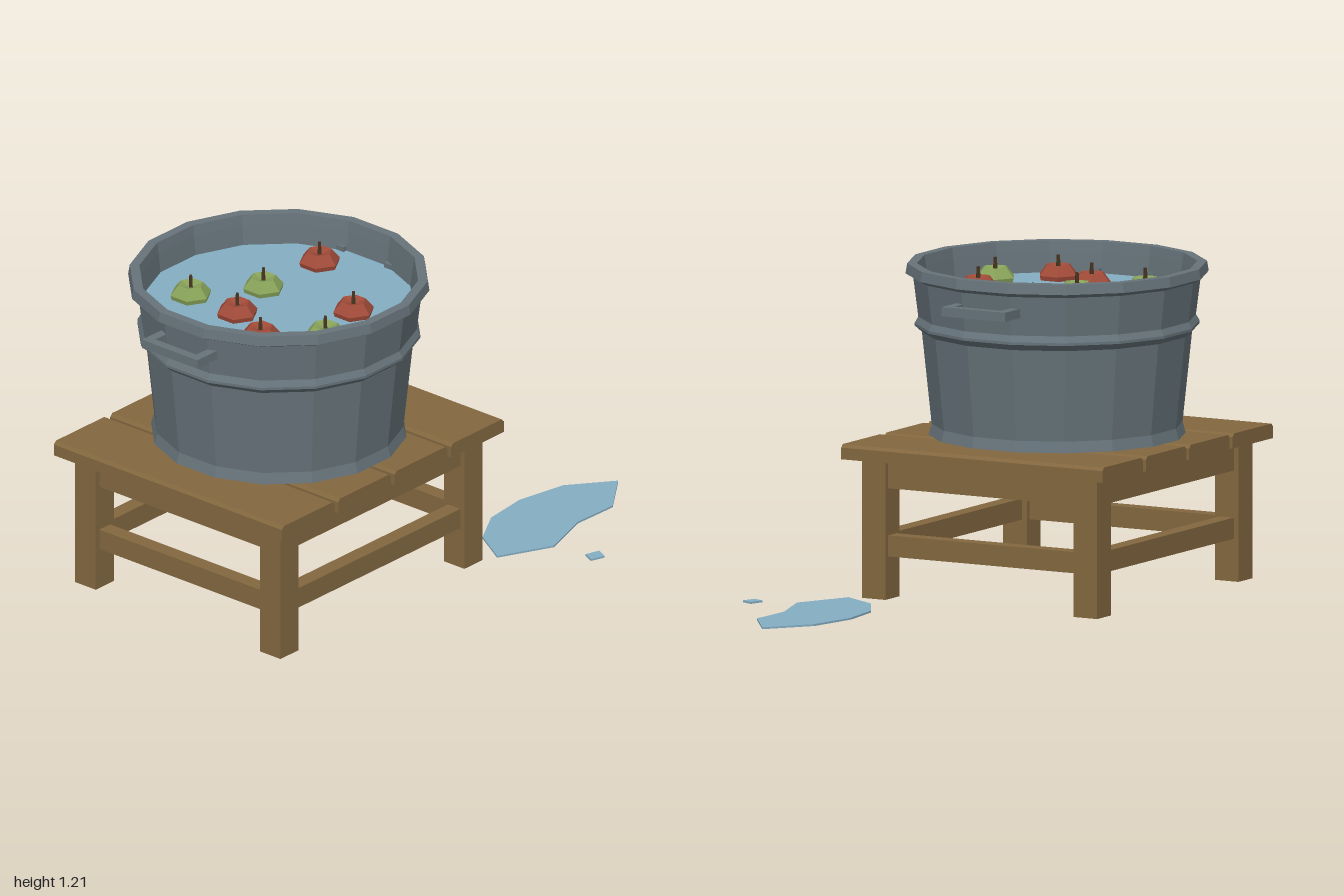
import * as THREE from 'three';

const CX = -0.385, CZ = -0.135; // shared centre of table and tub
const SIDES = 16;

const mat = (name, color) => {
  const m = new THREE.MeshStandardMaterial({ color, flatShading: true });
  m.name = name;
  return m;
};

export function createModel() {
  const wood = mat('wood', 0x82673f);
  const metal = mat('metal', 0x66737a);
  const water = mat('water', 0x84adc3);
  const red = mat('red', 0xa04a38);
  const green = mat('green', 0x87a259);
  const stemBrown = mat('stemBrown', 0x45331f);

  const model = new THREE.Group();
  model.name = 'appleTub';
  const group = (name, parent = model) => {
    const g = new THREE.Group();
    g.name = name;
    parent.add(g);
    return g;
  };
  const add = (parent, name, geometry, material, x = 0, y = 0, z = 0) => {
    const m = new THREE.Mesh(geometry, material);
    m.name = name;
    m.position.set(x, y, z);
    parent.add(m);
    return m;
  };
  const box = (parent, name, material, w, h, d, x, y, z) =>
    add(parent, name, new THREE.BoxGeometry(w, h, d), material, x, y, z);
  // Profile given as [distance to flat, height], flats facing the axes
  const ring = (points) => new THREE.LatheGeometry(
    points.map(([r, y]) => new THREE.Vector2(r / Math.cos(Math.PI / SIDES), y)),
    SIDES, Math.PI / SIDES);

  // Table
  const table = group('table');
  table.position.set(CX, 0, CZ);

  // Planks with chamfered long top edges
  const pw = 0.292, top = 0.57, under = 0.515, c = 0.012, depth = 1.106;
  const section = new THREE.Shape([
    [-pw / 2, under], [pw / 2, under], [pw / 2, top - c],
    [pw / 2 - c, top], [-pw / 2 + c, top], [-pw / 2, top - c],
  ].map(([x, y]) => new THREE.Vector2(x, y)));
  const plank = new THREE.ExtrudeGeometry(section, { depth, bevelEnabled: false });
  plank.translate(0, 0, -depth / 2);
  for (let i = 0; i < 4; i++) add(table, 'plank', plank, wood, (i - 1.5) * 0.313);

  // Legs, with aprons and stretchers between them
  const lx = 0.51, lz = 0.448, leg = 0.1, rail = 0.06;
  for (const s of [-1, 1]) {
    for (const t of [-1, 1]) box(table, 'leg', wood, leg, under, leg, s * lx, under / 2, t * lz);
    for (const [name, y0, y1] of [['apron', 0.41, under], ['stretcher', 0.158, 0.236]]) {
      const h = y1 - y0, y = (y0 + y1) / 2;
      box(table, name, wood, 2 * lx - leg, h, rail, 0, y, s * lz);
      box(table, name, wood, rail, h, 2 * lz - leg, s * lx, y, 0);
    }
  }

  // Tub: outer wall with base ring, band and rim, then the inner wall
  const tub = group('tub');
  tub.position.set(CX, 0, CZ);
  add(tub, 'tubWall', ring([
    [0, 0.571], [0.461, 0.571], [0.45, 0.612], [0.485, 0.952], [0.511, 0.975],
    [0.511, 0.985], [0.498, 1.008], [0.516, 1.153], [0.544, 1.168], [0.538, 1.205],
    [0.503, 1.205], [0.497, 1.165], [0.487, 1.08], [0.43, 0.61], [0, 0.61],
  ]), metal);
  add(tub, 'waterSurface', ring([[0.488, 1.09], [0, 1.09]]), water);

  // Handles
  for (const s of [-1, 1]) {
    const handle = group('handle', tub);
    box(handle, 'handleGrip', metal, 0.035, 0.034, 0.268, s * 0.5875, 1.092, 0);
    for (const t of [-1, 1])
      box(handle, 'handleArm', metal, 0.1, 0.034, 0.035, s * 0.521, 1.092, t * 0.1165);
  }

  // Floating apples
  const appleGeo = new THREE.LatheGeometry(
    [[0, -0.05], [0.045, -0.055], [0.068, -0.025], [0.078, 0.012], [0.047, 0.05], [0.012, 0.038], [0, 0.036]]
      .map(([r, y]) => new THREE.Vector2(r, y)), 6);
  const stemGeo = new THREE.CylinderGeometry(0.007, 0.01, 0.05, 4);
  for (const [x, z, skin] of [
    [-0.57, -0.40, green], [-0.35, -0.24, green], [-0.51, 0.20, green],
    [-0.575, -0.17, red], [-0.05, -0.23, red], [-0.675, -0.03 + 0.06, red], [-0.285, 0.14, red],
  ]) {
    const apple = group('apple');
    apple.position.set(x, 1.095, z);
    add(apple, 'appleBody', appleGeo, skin);
    add(apple, 'appleStem', stemGeo, stemBrown, 0, 0.06, 0);
  }

  // Spilled water on the ground, outlines in [x, z]
  const spill = (name, outline) => {
    const shape = new THREE.Shape(outline.map(([x, z]) => new THREE.Vector2(x, -z)));
    const geo = new THREE.ExtrudeGeometry(shape, { depth: 0.007, bevelEnabled: false });
    geo.rotateX(-Math.PI / 2);
    add(model, name, geo, water);
  };
  spill('puddle', [
    [0.225, 0.39], [0.313, 0.243], [0.457, 0.158], [0.64, 0.136], [0.837, 0.174],
    [1, 0.30], [0.826, 0.425], [0.64, 0.42], [0.43, 0.488],
  ]);
  spill('droplet', [[0.45, 0.623], [0.505, 0.64], [0.484, 0.685], [0.43, 0.666]]);

  return model;
}
